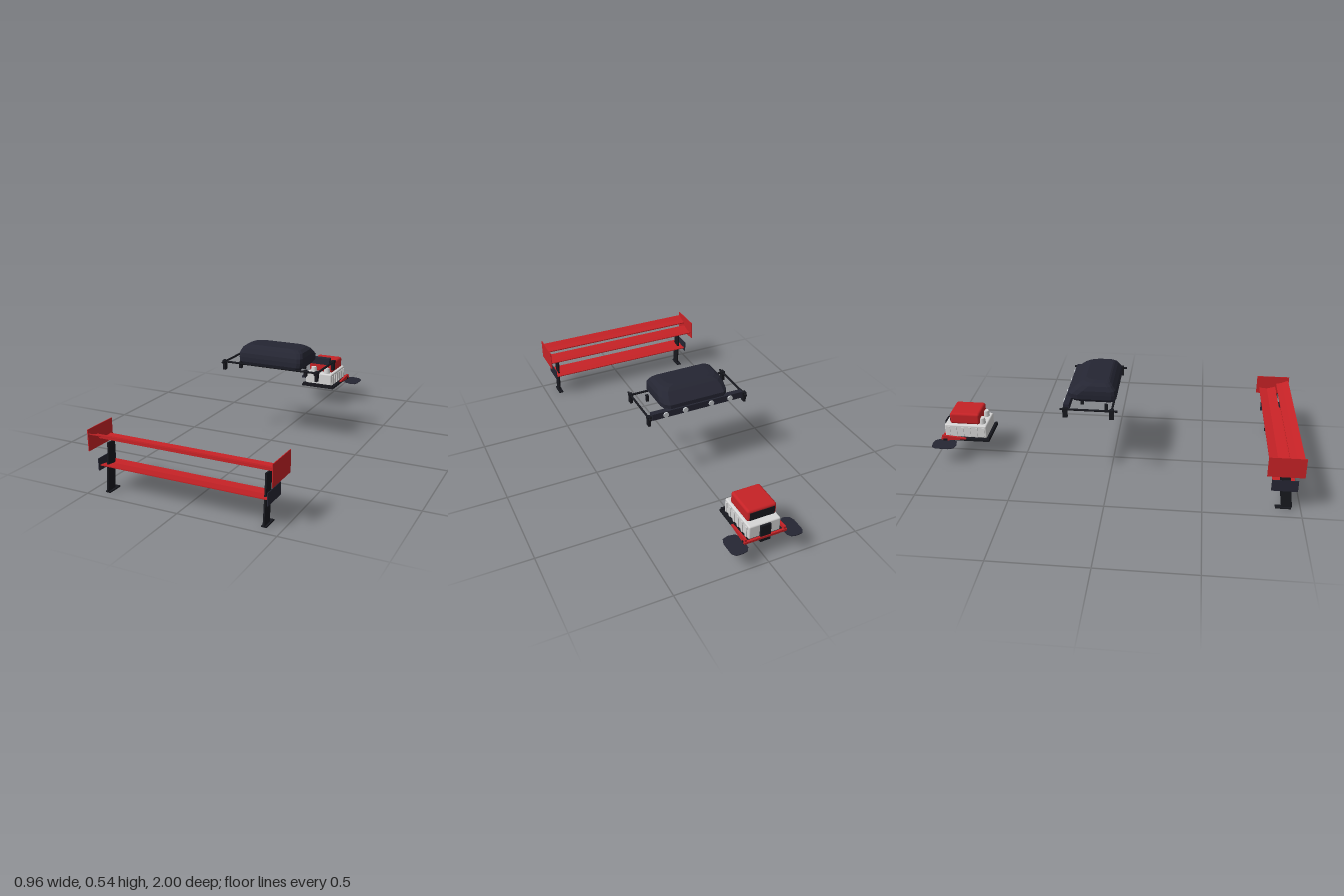
import * as THREE from 'three';
import { RoundedBoxGeometry } from 'three/addons/geometries/RoundedBoxGeometry.js';
import { ConvexGeometry } from 'three/addons/geometries/ConvexGeometry.js';

const mat = (name, color) => {
  const m = new THREE.MeshStandardMaterial({ color });
  m.name = name;
  return m;
};

export function createModel() {
  const red = mat('red paint', 0xc62226);
  const dark = mat('dark charcoal', 0x252633);
  const black = mat('black', 0x17181e);
  const white = mat('light grey', 0xd6d6d6);
  const lens = mat('lamp lens', 0xc8ccd0);

  const root = new THREE.Group();
  const group = (name) => {
    const g = new THREE.Group();
    g.name = name;
    root.add(g);
    return g;
  };
  const add = (parent, name, geo, material, x = 0, y = 0, z = 0) => {
    const m = new THREE.Mesh(geo, material);
    m.name = name;
    m.position.set(x, y, z);
    parent.add(m);
    return m;
  };
  const box = (p, name, m, w, h, d, x, y, z) => add(p, name, new THREE.BoxGeometry(w, h, d), m, x, y, z);
  const round = (p, name, m, w, h, d, r, x, y, z) => add(p, name, new RoundedBoxGeometry(w, h, d, 3, r), m, x, y, z);
  // Side profile given as [z, y], extruded across x and centred
  const slab = (p, name, m, pts, width, x = 0) => {
    const shape = new THREE.Shape(pts.map(([z, y]) => new THREE.Vector2(z, y)));
    const geo = new THREE.ExtrudeGeometry(shape, { depth: width, bevelEnabled: false });
    geo.translate(0, 0, -width / 2).rotateY(-Math.PI / 2);
    return add(p, name, geo, m, x);
  };
  const sides = [-1, 1];

  // Wing: two upper elements, a lower beam, end plates and struts
  const wing = group('wing');
  slab(wing, 'mainElement', red, [[0.825, 0.249], [0.87, 0.244], [0.918, 0.259], [0.918, 0.264], [0.87, 0.25], [0.825, 0.254]], 0.952);
  slab(wing, 'upperFlap', red, [[0.922, 0.277], [0.955, 0.285], [0.99, 0.302], [0.99, 0.307], [0.955, 0.291], [0.922, 0.283]], 0.952);
  slab(wing, 'lowerBeam', red, [[0.85, 0.132], [0.9, 0.129], [0.962, 0.14], [0.962, 0.145], [0.9, 0.136], [0.85, 0.137]], 0.884);
  for (const s of sides) {
    box(wing, 'wingEndPlate', red, 0.004, 0.108, 0.186, s * 0.476, 0.273, 0.902);
    box(wing, 'beamEndPlate', dark, 0.004, 0.062, 0.133, s * 0.443, 0.148, 0.906);
    slab(wing, 'strut', black, [[0.9, 0.005], [0.957, 0.005], [0.93, 0.22], [0.93, 0.25], [0.878, 0.246], [0.878, 0.2]], 0.008, s * 0.415);
    box(wing, 'strutFoot', black, 0.026, 0.007, 0.08, s * 0.415, 0.0035, 0.912);
  }

  // Roof bag: [half width, inset] rings swept through a tapered outline
  const rack = group('roofRack');
  const bagRings = [ // y, half width, front z, back z
    [0.432, 0.172, 0.022, -0.215],
    [0.45, 0.187, 0.03, -0.228],
    [0.475, 0.189, 0.03, -0.228],
    [0.498, 0.188, 0.026, -0.2],
    [0.522, 0.178, 0.008, -0.172],
    [0.535, 0.16, -0.006, -0.15],
    [0.54, 0.13, -0.015, -0.138],
  ];
  const bagPoints = [];
  for (const [y, w, f, b] of bagRings) {
    for (const s of sides) {
      bagPoints.push(
        new THREE.Vector3(s * (w - 0.025), y, f),
        new THREE.Vector3(s * (w - 0.008), y, f - 0.008),
        new THREE.Vector3(s * w, y, f - 0.025),
        new THREE.Vector3(s * w, y, b + 0.055),
        new THREE.Vector3(s * (w - 0.01), y, b + 0.022),
        new THREE.Vector3(s * (w - 0.035), y, b),
      );
    }
  }
  add(rack, 'roofBag', new ConvexGeometry(bagPoints), dark);

  // Rack frame, lamp bar and feet
  const tube = (name, len, r, axis, x, y, z) => {
    const geo = new THREE.CylinderGeometry(r, r, len, 8);
    if (axis === 'x') geo.rotateZ(Math.PI / 2);
    else geo.rotateX(Math.PI / 2);
    add(rack, name, geo, black, x, y, z);
  };
  tube('frontCrossBar', 0.574, 0.006, 'x', 0, 0.433, 0.017);
  tube('backCrossBar', 0.574, 0.006, 'x', 0, 0.433, -0.225);
  box(rack, 'lampBar', dark, 0.52, 0.036, 0.03, 0, 0.435, -0.222);
  for (const s of sides) {
    tube('sideRail', 0.3, 0.006, 'z', s * 0.276, 0.433, -0.103);
    for (const z of [0.017, -0.225]) {
      box(rack, 'rackFoot', black, 0.014, 0.044, 0.026, s * 0.276, 0.41, z);
      box(rack, 'railClamp', black, 0.02, 0.014, 0.024, s * 0.276, 0.435, z);
    }
    box(rack, 'frontBracket', black, 0.014, 0.036, 0.018, s * 0.196, 0.414, -0.02);
    box(rack, 'backBracket', black, 0.014, 0.036, 0.018, s * 0.134, 0.414, -0.155);
    for (const x of [0.075, 0.185]) {
      const lamp = new THREE.CylinderGeometry(0.015, 0.015, 0.008, 12).rotateX(Math.PI / 2);
      add(rack, 'lamp', lamp, lens, s * x, 0.435, -0.24);
    }
  }

  // Engine unit: tray, ribbed block and scoop
  const engine = group('engine');
  const plate = (name, m, pts, depth, y) => { // outline as [x, z], laid flat
    const shape = new THREE.Shape(pts.map(([x, z]) => new THREE.Vector2(x, -z)));
    const geo = new THREE.ExtrudeGeometry(shape, { depth, bevelEnabled: false }).rotateX(-Math.PI / 2);
    return add(engine, name, geo, m, 0, y);
  };
  plate('tray', black, [[-0.105, -0.69], [0.105, -0.69], [0.105, -0.87], [0.115, -0.95], [-0.115, -0.95], [-0.105, -0.87]], 0.012, 0.115);
  box(engine, 'traySill', black, 0.2, 0.012, 0.012, 0, 0.13, -0.697);
  round(engine, 'engineBlock', white, 0.172, 0.076, 0.238, 0.008, 0, 0.165, -0.825);
  for (const s of sides) {
    for (let i = 0; i < 6; i++) {
      box(engine, 'blockRib', white, 0.008, 0.058, 0.014, s * 0.087, 0.162, -0.725 - i * 0.039);
    }
    const horn = new THREE.CylinderGeometry(0.017, 0.021, 0.034, 12);
    add(engine, 'intakeHorn', horn, white, s * 0.044, 0.219, -0.738);
  }
  round(engine, 'scoop', red, 0.158, 0.066, 0.168, 0.013, 0, 0.238, -0.828);
  box(engine, 'scoopMouth', black, 0.134, 0.044, 0.006, 0, 0.235, -0.911);
  box(engine, 'beltCover', black, 0.055, 0.068, 0.014, 0, 0.162, -0.949);
  box(engine, 'sump', black, 0.056, 0.018, 0.05, 0, 0.109, -0.93);

  // Red arms and flat paddles at the far end
  box(engine, 'redBar', red, 0.232, 0.012, 0.012, 0, 0.127, -0.953);
  for (const s of sides) {
    slab(engine, 'redArm', red, [[-0.955, 0.113], [-0.82, 0.128], [-0.82, 0.134], [-0.955, 0.146]], 0.012, s * 0.106);
    const outline = [[0, -0.9], [0, -0.975], [0.014, -0.995], [0.04, -1], [0.075, -0.996], [0.09, -0.975], [0.091, -0.9], [0.08, -0.872], [0.05, -0.864], [0.014, -0.872]];
    const paddle = plate('paddle', dark, outline.map(([x, z]) => [s * x, z]), 0.004, 0.113);
    paddle.position.x = s * 0.104;
    paddle.rotation.z = -s * 0.06;
  }
  return root;
}
